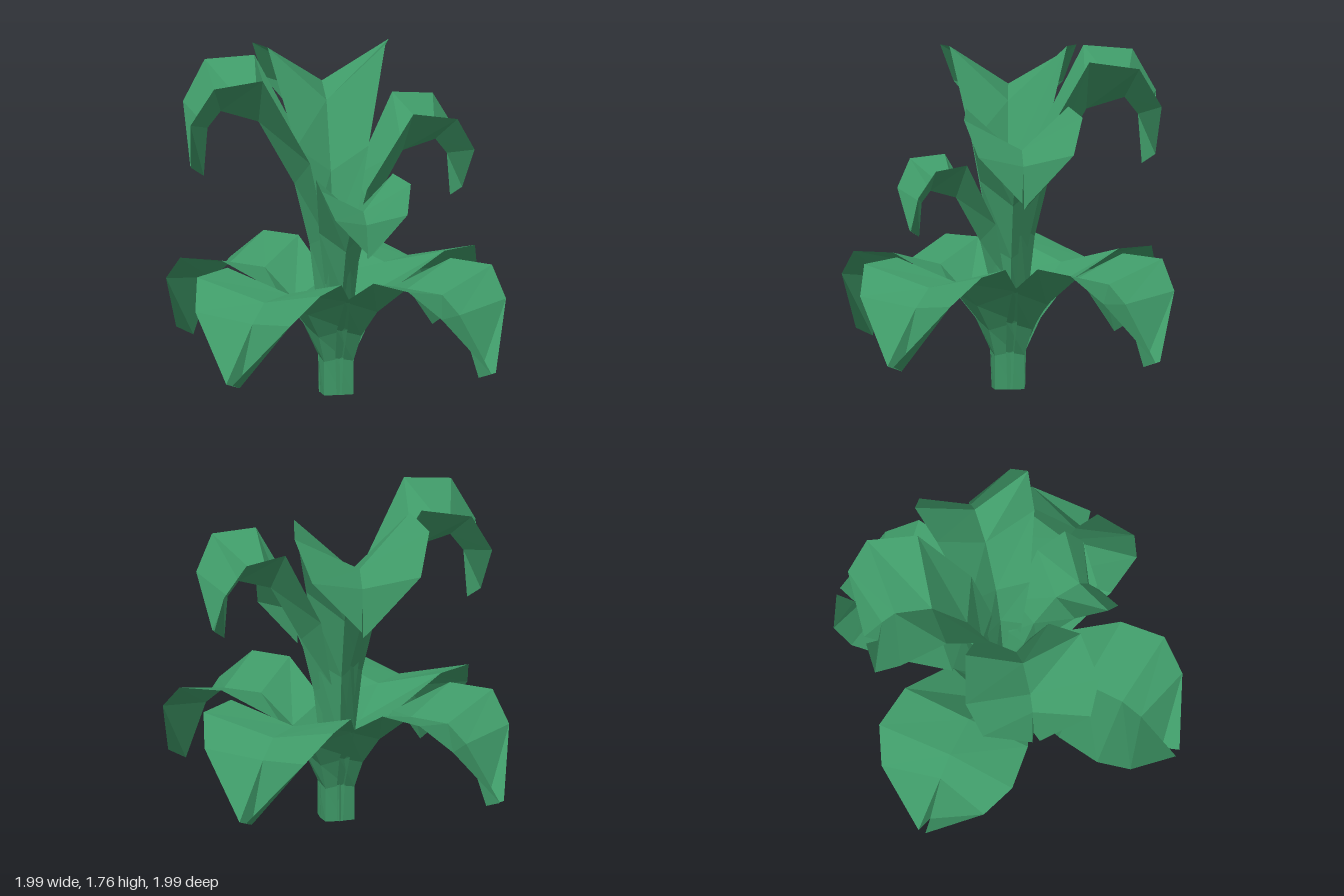
import * as THREE from 'three';

const green = new THREE.MeshStandardMaterial({ color: 0x3f9a68, flatShading: true, side: THREE.DoubleSide });

// Rows from base to tip: [rib distance, rib height, edge distance, edge height, half width]
const lowerRows = [
  [0.11, 0, 0.05, 0, 0.07],
  [0.11, 0.18, 0.05, 0.2, 0.08],
  [0.16, 0.32, 0.1, 0.37, 0.14],
  [0.26, 0.46, 0.21, 0.55, 0.23],
  [0.45, 0.61, 0.48, 0.71, 0.36],
  [0.67, 0.605, 0.72, 0.7, 0.39],
  [0.78, 0.51, 0.87, 0.555, 0.3],
  [0.9, 0.19, 0.995, 0.225, 0.02],
];
const upperRows = [
  [0.09, 0, 0.03, 0, 0.06],
  [0.1, 0.45, 0.03, 0.47, 0.07],
  [0.14, 0.8, 0.06, 0.86, 0.11],
  [0.22, 1.13, 0.15, 1.28, 0.19],
  [0.41, 1.47, 0.41, 1.76, 0.31],
  [0.61, 1.53, 0.67, 1.73, 0.36],
  [0.68, 1.44, 0.79, 1.52, 0.29],
  [0.7, 1.18, 0.77, 1.23, 0.02],
];

// Folded leaf blade growing along +x: left edge, rib, right edge in every row
function leafGeometry(rows) {
  const points = [], index = [];
  rows.forEach(([ribX, ribY, edgeX, edgeY, w], i) => {
    points.push(edgeX, edgeY, -w, ribX, ribY, 0, edgeX, edgeY, w);
    if (i === 0) return;
    for (let k = 0; k < 2; k++) {
      const a = (i - 1) * 3 + k, b = a + 1, c = a + 3, d = a + 4;
      index.push(a, b, d, a, d, c);
    }
  });
  const indexed = new THREE.BufferGeometry();
  indexed.setAttribute('position', new THREE.Float32BufferAttribute(points, 3));
  indexed.setIndex(index);
  const geometry = indexed.toNonIndexed();
  geometry.computeVertexNormals();
  return geometry;
}

export function createModel() {
  const plant = new THREE.Group();
  plant.name = 'plant';
  const lower = leafGeometry(lowerRows), upper = leafGeometry(upperRows);

  // angle is measured from +x towards +z
  const addLeaf = (name, geometry, angle, scale) => {
    const leaf = new THREE.Mesh(geometry, green);
    leaf.name = name;
    leaf.rotation.y = -THREE.MathUtils.degToRad(angle);
    leaf.scale.setScalar(scale);
    plant.add(leaf);
  };

  // Ring of four low, drooping leaves
  ['Left', 'Front', 'Right', 'Back'].forEach((side, i) => addLeaf('lowerLeaf' + side, lower, i * 90, 1));

  // Four tall leaves on the diagonals, each of its own size
  addLeaf('upperLeafFrontLeft', upper, 36, 0.69);
  addLeaf('upperLeafFrontRight', upper, 142, 0.99);
  addLeaf('upperLeafBackRight', upper, 229, 1);
  addLeaf('upperLeafBackLeft', upper, 314, 0.87);
  return plant;
}
